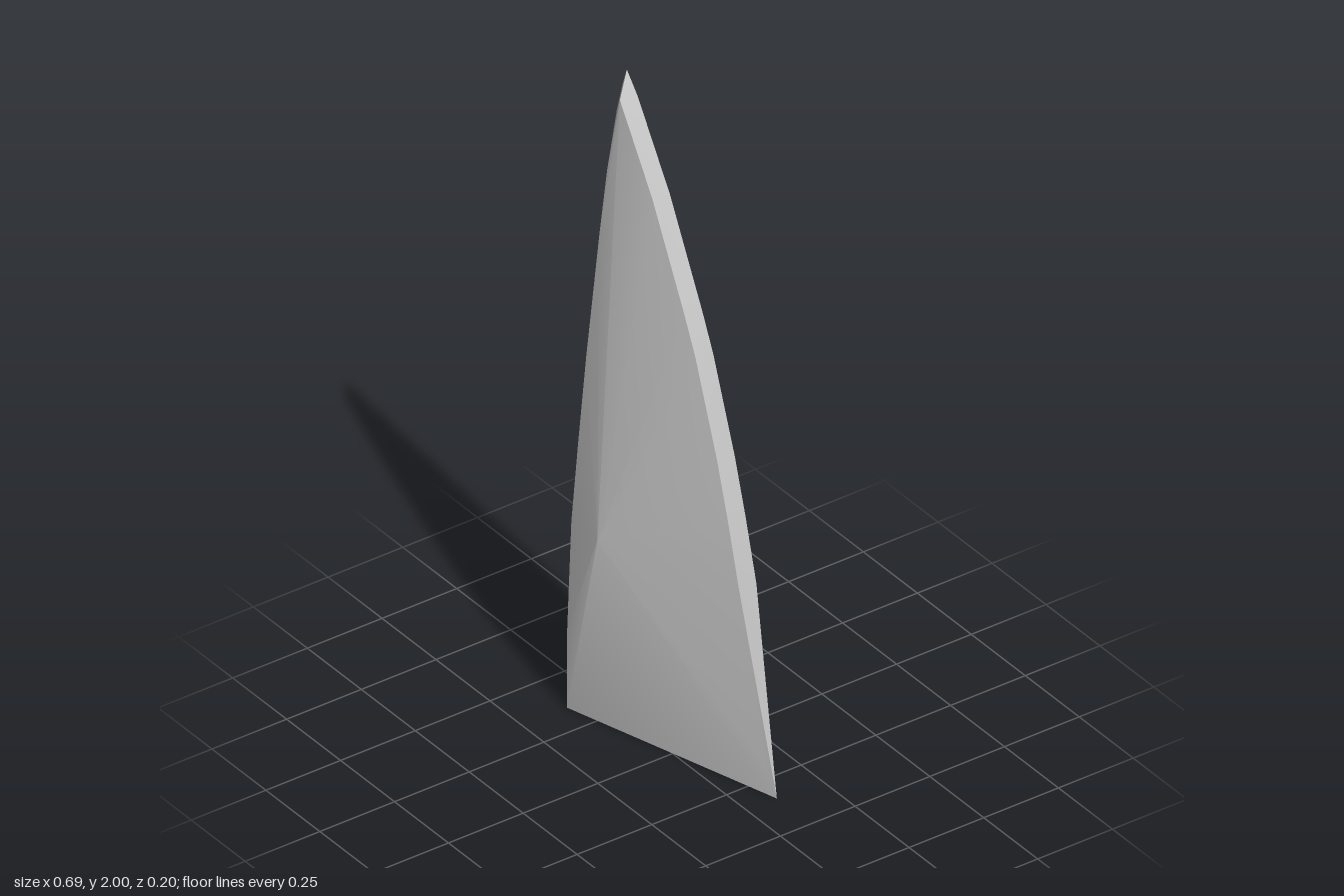
import * as THREE from 'three';
import { ConvexGeometry } from 'three/addons/geometries/ConvexGeometry.js';
import { toCreasedNormals } from 'three/addons/utils/BufferGeometryUtils.js';

const BACK = -0.1;   // flat back plane
const SIDE = -0.35;  // flat upright side

export function createModel() {
  const points = [];
  const add = (x, y, z) => points.push(new THREE.Vector3(x, y, z));

  // Curved outer rim on the back plane, with a bevelled edge just inside it
  const rim = [
    [-0.3, 1.94], [-0.22, 1.81], [-0.15, 1.7], [-0.08, 1.56], [0, 1.4], [0.05, 1.29],
    [0.1, 1.15], [0.15, 1.01], [0.2, 0.84], [0.25, 0.65],
  ];
  for (const [x, y] of rim) {
    add(x, y, BACK);
    add(x - 0.027, y - 0.012, -0.06);
  }
  add(0.345, 0, BACK);
  add(0.31, 0.1, -0.086);

  // Front edge of the upright side, leaning back to the tip: [y, z]
  const edge = [
    [0, 0.1], [0.25, 0.1], [0.6, 0.086], [0.85, 0.063], [1.12, 0.036], [1.5, -0.008],
    [1.7, -0.034], [1.88, -0.066], [1.96, -0.086], [2, BACK],
  ];
  for (const [y, z] of edge) add(SIDE, y, z);

  // Raised peak of the front face
  add(-0.21, 0.62, 0.1);

  // Slanted cut across the lower back corner
  add(0.11, 0, BACK);
  add(SIDE, 0, 0.05);
  add(SIDE, 1.68, BACK);

  const hull = new ConvexGeometry(points);
  const blade = new THREE.Mesh(
    toCreasedNormals(hull, 0.31),
    new THREE.MeshStandardMaterial({ color: 0xcccccc })
  );
  blade.name = 'finBlade';

  const model = new THREE.Group();
  model.name = 'fin';
  model.add(blade);
  return model;
}
